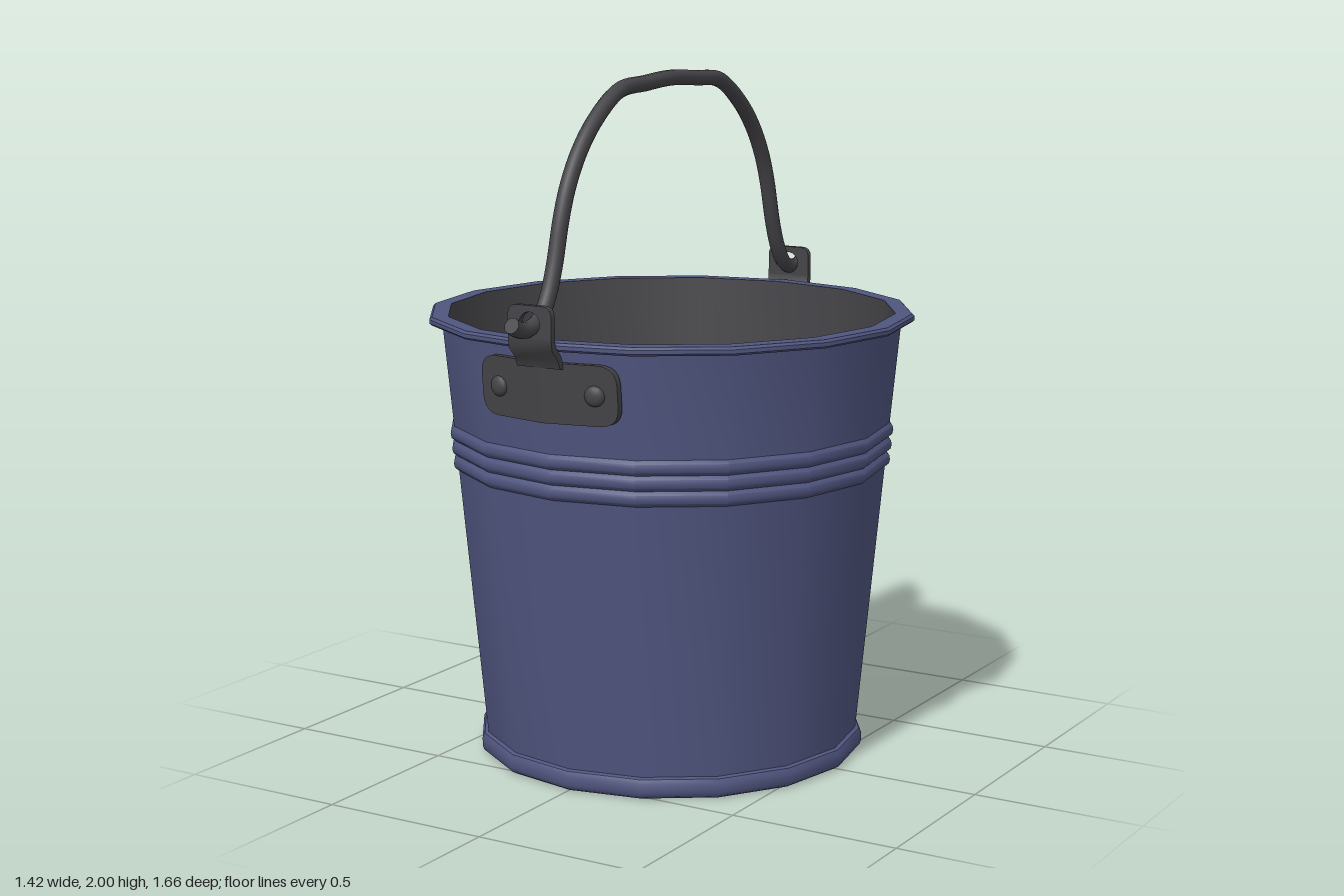
import * as THREE from 'three';
import { toCreasedNormals } from 'three/addons/utils/BufferGeometryUtils.js';

const SIDES = 16;
const v2 = (p) => new THREE.Vector2(p[0], p[1]);
const wallRadius = (y) => 0.555 + (y - 0.06) * 0.095;

export function createModel() {
  const group = new THREE.Group();
  const blue = new THREE.MeshStandardMaterial({ color: 0x50557f });
  blue.name = 'blue paint';
  const iron = new THREE.MeshStandardMaterial({ color: 0x454448 });
  iron.name = 'dark iron';

  const add = (name, geometry, material, parent = group) => {
    const mesh = new THREE.Mesh(geometry, material);
    mesh.name = name;
    parent.add(mesh);
    return mesh;
  };
  const lathe = (points) => toCreasedNormals(new THREE.LatheGeometry(points.map(v2), SIDES), 0.65);

  // Outer shell: base hoop, tapered wall, three beads, rolled rim
  const outer = [[0, 0], [0.555, 0], [0.568, 0.008], [0.573, 0.02], [0.573, 0.045], [0.566, 0.058], [0.555, 0.062]];
  for (let i = 0; i < 3; i++) {
    const y = 0.855 + i * 0.044, r = wallRadius(y);
    outer.push([r, y], [r + 0.012, y + 0.01], [r + 0.015, y + 0.022], [r + 0.013, y + 0.034]);
  }
  outer.push([wallRadius(0.987), 0.987], [0.672, 1.283], [0.703, 1.283], [0.71, 1.289], [0.71, 1.3], [0.703, 1.307], [0.655, 1.307]);
  add('bucketShell', lathe(outer), blue);

  // Lining and floor
  add('bucketLining', lathe([[0.655, 1.307], [0.62, 0.9], [0.547, 0.11], [0.535, 0.075], [0.51, 0.05], [0, 0.05]]), iron);

  // Bail handle with hooked ends
  const half = [[0.818, 1.366], [0.79, 1.352], [0.755, 1.345], [0.69, 1.362], [0.645, 1.42], [0.612, 1.5],
    [0.575, 1.63], [0.54, 1.715], [0.485, 1.8], [0.405, 1.88], [0.28, 1.955], [0.14, 1.968]];
  const path = [
    ...half.map(([z, y]) => new THREE.Vector3(0, y, z)),
    new THREE.Vector3(0, 1.976, 0),
    ...half.map(([z, y]) => new THREE.Vector3(0, y, -z)).reverse(),
  ];
  const curve = new THREE.CatmullRomCurve3(path, false, 'centripetal');
  add('handle', new THREE.TubeGeometry(curve, 96, 0.023, 10), iron);
  for (const t of [0, 1]) {
    const cap = add('handleEnd', new THREE.CircleGeometry(0.023, 10), iron);
    const p = curve.getPoint(t);
    cap.position.copy(p);
    cap.lookAt(p.clone().addScaledVector(curve.getTangent(t), t ? 1 : -1));
  }

  // Bracket, riveted to the wall and folded outward past the rim
  const makeBracket = () => {
    const bracket = new THREE.Group();
    const depth = 0.02;

    // Base plate, folded at the centre to follow the wall
    for (const s of [1, -1]) {
      const shape = new THREE.Shape();
      shape.moveTo(0, 1.08);
      shape.lineTo(s * 0.16, 1.08);
      shape.quadraticCurveTo(s * 0.22, 1.08, s * 0.22, 1.135);
      shape.lineTo(s * 0.22, 1.195);
      shape.quadraticCurveTo(s * 0.22, 1.25, s * 0.16, 1.25);
      shape.lineTo(0, 1.25);
      const geo = new THREE.ExtrudeGeometry(shape, { depth, bevelEnabled: false, curveSegments: 6 });
      const pos = geo.attributes.position;
      for (let i = 0; i < pos.count; i++) {
        pos.setZ(i, pos.getZ(i) + wallRadius(pos.getY(i)) + 0.006 - Math.abs(pos.getX(i)) * 0.199);
      }
      add('bracketPlate', toCreasedNormals(geo, 0.6), iron, bracket);

      // Rivet
      const rivet = add('rivet', new THREE.SphereGeometry(0.03, 12, 6, 0, Math.PI * 2, 0, Math.PI / 2), iron, bracket);
      rivet.scale.y = 0.55;
      rivet.rotation.set(Math.PI / 2, 0, -s * 0.196, 'YXZ');
      rivet.rotation.y = s * 0.196;
      rivet.rotation.z = 0;
      rivet.position.set(s * 0.155, 1.165, wallRadius(1.165) + 0.025 - 0.155 * 0.199);
    }

    // Neck swept outward around the rim
    const neck = new THREE.Shape([[0.67, 1.235], [0.692, 1.235], [0.704, 1.262], [0.731, 1.29], [0.735, 1.32],
      [0.717, 1.32], [0.714, 1.3], [0.688, 1.272]].map(v2));
    const neckGeo = new THREE.ExtrudeGeometry(neck, { depth: 0.14, bevelEnabled: false });
    neckGeo.rotateY(-Math.PI / 2); // profile x becomes z
    neckGeo.translate(0.07, 0, 0);
    add('bracketNeck', toCreasedNormals(neckGeo, 0.7), iron, bracket);

    // Eye tab with the handle hole
    const tab = new THREE.Shape();
    tab.moveTo(-0.07, 1.32);
    tab.lineTo(0.07, 1.32);
    tab.lineTo(0.07, 1.38);
    tab.quadraticCurveTo(0.07, 1.41, 0.04, 1.41);
    tab.lineTo(-0.04, 1.41);
    tab.quadraticCurveTo(-0.07, 1.41, -0.07, 1.38);
    const hole = new THREE.Path();
    hole.absarc(0, 1.36, 0.033, 0, Math.PI * 2, true);
    tab.holes.push(hole);
    const tabGeo = new THREE.ExtrudeGeometry(tab, { depth: 0.018, bevelEnabled: false, curveSegments: 8 });
    tabGeo.translate(0, 0, 0.717);
    add('bracketEye', toCreasedNormals(tabGeo, 0.8), iron, bracket);
    return bracket;
  };

  const front = makeBracket();
  front.name = 'frontBracket';
  const back = makeBracket();
  back.name = 'backBracket';
  back.rotation.y = Math.PI;
  group.add(front, back);
  return group;
}
